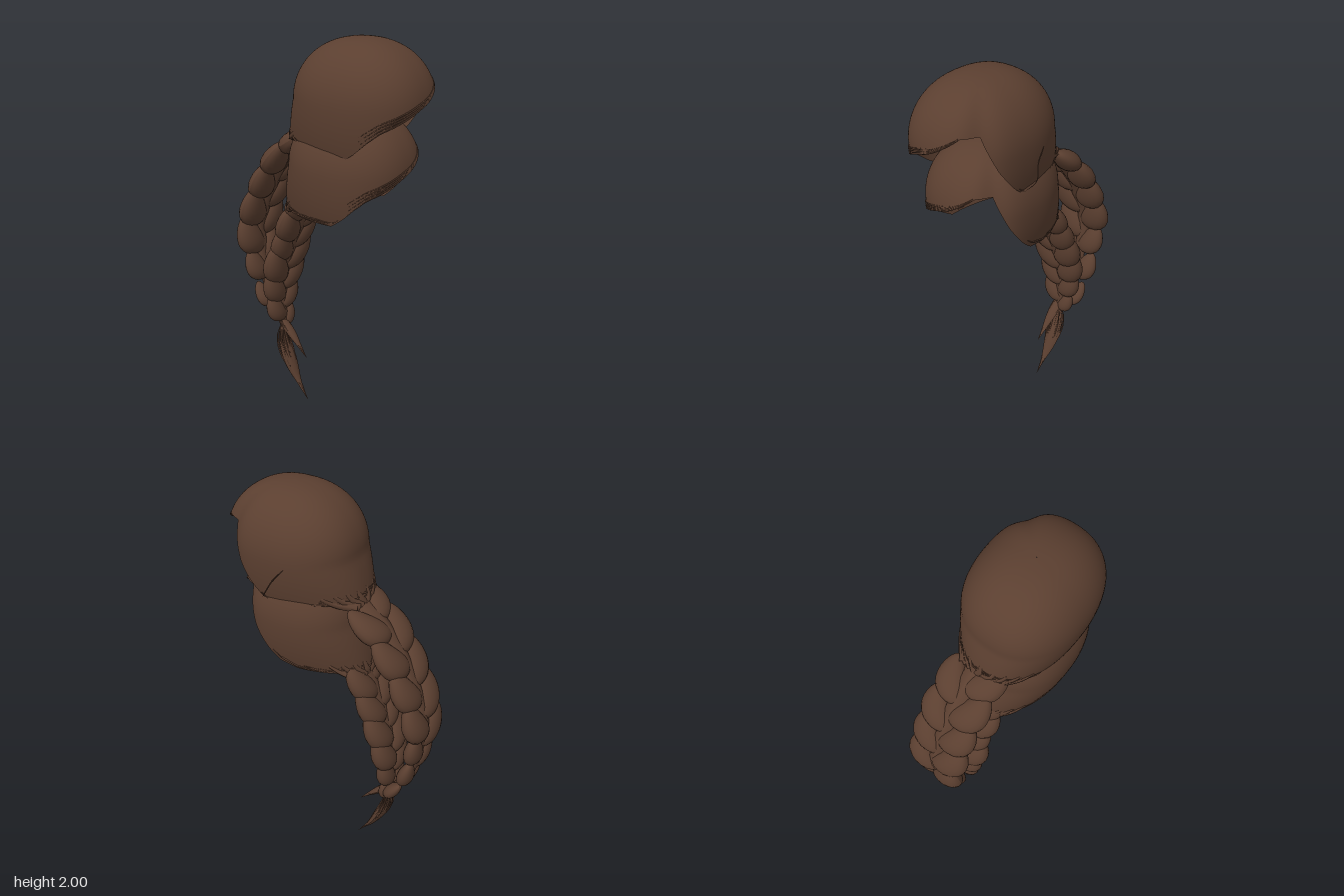
import * as THREE from 'three';

const hairBrown = new THREE.MeshStandardMaterial({ color: 0x5b3f30, side: THREE.DoubleSide });
hairBrown.name = 'hair brown';

let seed = 7;
const rand = () => (seed = (seed * 16807) % 2147483647) / 2147483647;
const spow = (v, e) => Math.sign(v) * Math.abs(v) ** e;
const V = (x, y, z) => new THREE.Vector3(x, y, z);

function add(parent, name, geo) {
  const m = new THREE.Mesh(geo, hairBrown);
  m.name = name;
  parent.add(m);
  return m;
}

// Hairline: angle round the head (0 = front, 90 = +x) and height of the edge
const hairline = (nape) => [
  [-180, nape], [-150, nape], [-122, (nape + 1.49) / 2], [-104, 1.485], [-82, 1.49],
  [-70, 1.535], [-58, 1.59], [-46, 1.635], [-30, 1.67], [0, 1.74], [32, 1.83], [50, 1.83], [66, 1.67],
  [79, 1.57], [90, 1.505], [104, 1.485], [122, (nape + 1.49) / 2], [150, nape], [180, nape],
];
function edgeHeight(table, deg) {
  deg = ((deg + 540) % 360) - 180;
  for (let i = 1; i < table.length; i++) {
    const [a, ya] = table[i - 1], [b, yb] = table[i];
    if (deg <= b) return THREE.MathUtils.mapLinear(deg, a, b, ya, yb);
  }
  return table[0][1];
}

// Point on the cap: t runs from the crown (0) to the hairline (1)
function capPoint(table, deg, t, swell = 1) {
  const R = 0.28, Y = 1.72, arc = R * Math.PI / 2;
  const edge = edgeHeight(table, deg);
  const length = edge < Y ? arc + Y - edge : R * Math.acos((edge - Y) / R);
  const s = t * length, a = THREE.MathUtils.degToRad(deg);
  const phi = Math.min(s / R, Math.PI / 2);
  const drop = Math.max(0, s - arc), k = drop / 0.25;
  const ring = Math.sin(phi) ** 0.88 * swell;
  const dent = 1 - 0.08 * Math.exp(-(((deg - 50) / 14) ** 2)) * ring;
  const sx = spow(Math.sin(a), 0.87), sz = spow(Math.cos(a), 0.87);
  const x = 0.268 * sx * ring * dent * (1 - 0.15 * k * k);
  const z = 0.33 * sz * ring * dent * (1 - 0.1 * k * k);
  const pull = sz < 0 ? 0.09 * k * sz * sz : 0;
  return V(x - 0.012, Y + R * Math.cos(phi) - drop, 0.22 + z - pull);
}

function capGeometry(table) {
  const N = 180, M = 30, pos = [], idx = [];
  for (let j = 0; j <= M; j++)
    for (let i = 0; i < N; i++)
      pos.push(...capPoint(table, -180 + (360 * i) / N, Math.max(j / M, 0.001)).toArray());
  for (let j = 0; j < M; j++)
    for (let i = 0; i < N; i++) {
      const a = j * N + i, c = j * N + ((i + 1) % N), b = a + N, d = c + N;
      idx.push(a, b, c, c, b, d);
    }
  const g = new THREE.BufferGeometry();
  g.setAttribute('position', new THREE.Float32BufferAttribute(pos, 3));
  g.setIndex(idx);
  g.computeVertexNormals();
  return g;
}

// Tube whose radius follows a rule along its length
function taperedTube(points, radius, segs = 20, sides = 5, flat = 1) {
  const curve = new THREE.CatmullRomCurve3(points);
  const g = new THREE.TubeGeometry(curve, segs, 1, sides);
  const p = g.attributes.position, v = V(0, 0, 0);
  for (let i = 0; i < p.count; i++) {
    const t = Math.floor(i / (sides + 1)) / segs, c = curve.getPointAt(t);
    v.fromBufferAttribute(p, i).sub(c).multiplyScalar(radius(t));
    p.setXYZ(i, c.x + v.x, c.y + v.y * flat, c.z + v.z * flat);
  }
  g.computeVertexNormals();
  return g;
}
const wisp = (r) => (t) => r * Math.sin(Math.PI * Math.min(0.98, t * 0.9 + 0.08));

// Two columns of overlapping locks laid along a curve
function braid(points, cx, pairs, width) {
  const g = new THREE.Group();
  const curve = new THREE.CatmullRomCurve3(points.map(([z, y]) => V(cx, y, z)));
  const X = V(1, 0, 0);
  add(g, 'braidCore', taperedTube(curve.getPoints(16), (t) => 0.055 - 0.03 * t, 30, 8, 0.75));
  for (let i = 0; i < pairs * 2; i++) {
    const side = i % 2 ? 1 : -1;
    const t = (i + 0.6) / (pairs * 2 + 0.3);
    const size = (t < 0.55 ? 1 : 1 - 0.95 * (t - 0.55)) * (0.92 + 0.16 * rand());
    const down = curve.getTangentAt(t), out = V(0, 0, 0).crossVectors(X, down).normalize();
    const lock = new THREE.SphereGeometry(1, 18, 14);
    // drop-shaped lock, bowed outwards and fuller at the lower end
    const p = lock.attributes.position;
    for (let n = 0; n < p.count; n++) {
      const y = p.getY(n), f = 1 - 0.22 * y;
      p.setXYZ(n, p.getX(n) * f - side * 0.35 * y * y, y, p.getZ(n) * f);
    }
    lock.scale(0.068 * size * width, 0.125 * size, 0.052 * size);
    lock.rotateZ(-side * 0.42);
    lock.applyMatrix4(new THREE.Matrix4().makeBasis(X, down.clone().negate(), out.clone().negate()));
    const c = curve.getPointAt(t).addScaledVector(X, side * 0.076 * size * width);
    lock.translate(c.x, c.y, c.z);
    lock.computeVertexNormals();
    add(g, 'braidLock', lock);
  }
  return g;
}

// Loose tuft below the braid: a slim body and fine strands to the tip
function tail(points, cx, width) {
  const g = new THREE.Group();
  const base = points.map(([z, y]) => V(cx, y, z));
  const swell = (t) => Math.sin(Math.PI * Math.min(1, t) ** 0.85) ** 2;
  add(g, 'tailBody', taperedTube(base, (t) => 0.016 * (1 - t) + width * swell(t), 30, 8, 0.6));
  for (let i = 0; i < 16; i++) {
    const a = i * 2.4, r = width * (0.9 + 0.5 * rand()), cut = i % 4 ? 0.6 + 0.4 * rand() : 1;
    const last = base.length - 1;
    const pts = base.map((p, k) => {
      const f = k / last, spread = r * swell(f) + 0.008 * (1 - f);
      const q = k === last ? base[k - 1].clone().lerp(p, cut) : p.clone();
      return q.add(V(Math.cos(a) * spread, 0, Math.sin(a) * spread * 0.6));
    });
    add(g, 'tailStrand', taperedTube(pts, wisp(0.005), 14, 4));
  }
  return g;
}

function hairPiece(name, nape, offset, depth) {
  const g = new THREE.Group();
  g.name = name;
  const table = hairline(nape);
  add(g, 'cap', capGeometry(table));
  // fine strands lying along the sides and back of the cap edge
  for (let i = 0; i < 30; i++) {
    const start = 85 + 6 * i, span = 16 + 12 * rand(), t0 = 0.95 + 0.03 * rand(), t1 = 0.98 + 0.02 * rand();
    const pts = [0, 0.25, 0.5, 0.75, 1].map((f) =>
      capPoint(table, start + span * f, t0 + (t1 - t0) * f, 1.004));
    add(g, 'edgeStrand', taperedTube(pts, wisp(0.003), 12, 4));
  }
  // long strands combed across the fringe
  for (let i = 0; i < 4; i++) {
    const pts = [];
    for (let f = 0; f <= 1; f += 0.0625)
      pts.push(capPoint(table, 30 - 95 * f, 0.995 - 0.03 * i * (0.3 + f * 0.7), 1.004));
    add(g, 'fringeStrand', taperedTube(pts, wisp(0.004), 40, 5));
  }
  // hair drawn together from the nape into the braid
  for (let i = -4; i <= 4; i++) {
    const x = i / 4, from = capPoint(table, 180 - 48 * x, 0.93, 0.97), edge = capPoint(table, 180 - 36 * x, 1, 0.97);
    add(g, 'napeLock', taperedTube([from, edge, V(0.08 * x, nape - 0.03, -0.15)], (t) => 0.012 + 0.012 * t, 12, 6));
  }
  // hair tie loops inside the nape
  for (const [x, w] of [[-0.085, 0.04], [0, 0.035], [0.085, 0.04]]) {
    const tie = add(g, 'hairTie', new THREE.TorusGeometry(1, 0.08, 5, 20));
    tie.scale.set(w, 0.016, 0.03);
    tie.position.set(x, nape + 0.07, -0.04);
  }
  g.position.set(...offset);
  g.scale.z = depth;
  return g;
}

export function createModel() {
  const model = new THREE.Group();
  model.name = 'braidedHair';

  const upper = hairPiece('upperHair', 1.54, [0, 0, 0], 1);
  const lower = hairPiece('lowerHair', 1.48, [0, -0.31, -0.038], 0.94);
  model.add(upper, lower);

  // stray strand on the side
  add(upper, 'strayStrand', taperedTube(
    [V(0.25, 1.7, 0.12), V(0.265, 1.64, 0.17), V(0.285, 1.58, 0.2), V(0.25, 1.53, 0.24)], wisp(0.003), 14, 4));

  const parts = {
    upperBraid: braid([[-0.11, 1.51], [-0.24, 1.42], [-0.36, 1.27], [-0.44, 1.11], [-0.49, 0.95],
      [-0.48, 0.8], [-0.45, 0.65], [-0.4, 0.53], [-0.34, 0.45]], 0.018, 7, 1.12),
    lowerBraid: braid([[-0.13, 1.19], [-0.2, 1.05], [-0.27, 0.88], [-0.32, 0.7], [-0.33, 0.55], [-0.32, 0.41]], 0.008, 6, 1),
    upperTail: tail([[-0.36, 0.48], [-0.31, 0.43], [-0.24, 0.36], [-0.15, 0.26]], 0, 0.02),
    lowerTail: tail([[-0.32, 0.42], [-0.32, 0.36], [-0.295, 0.27], [-0.23, 0.13], [-0.145, 0.001]], 0, 0.036),
  };
  for (const [name, part] of Object.entries(parts)) {
    part.name = name;
    model.add(part);
  }
  return model;
}
